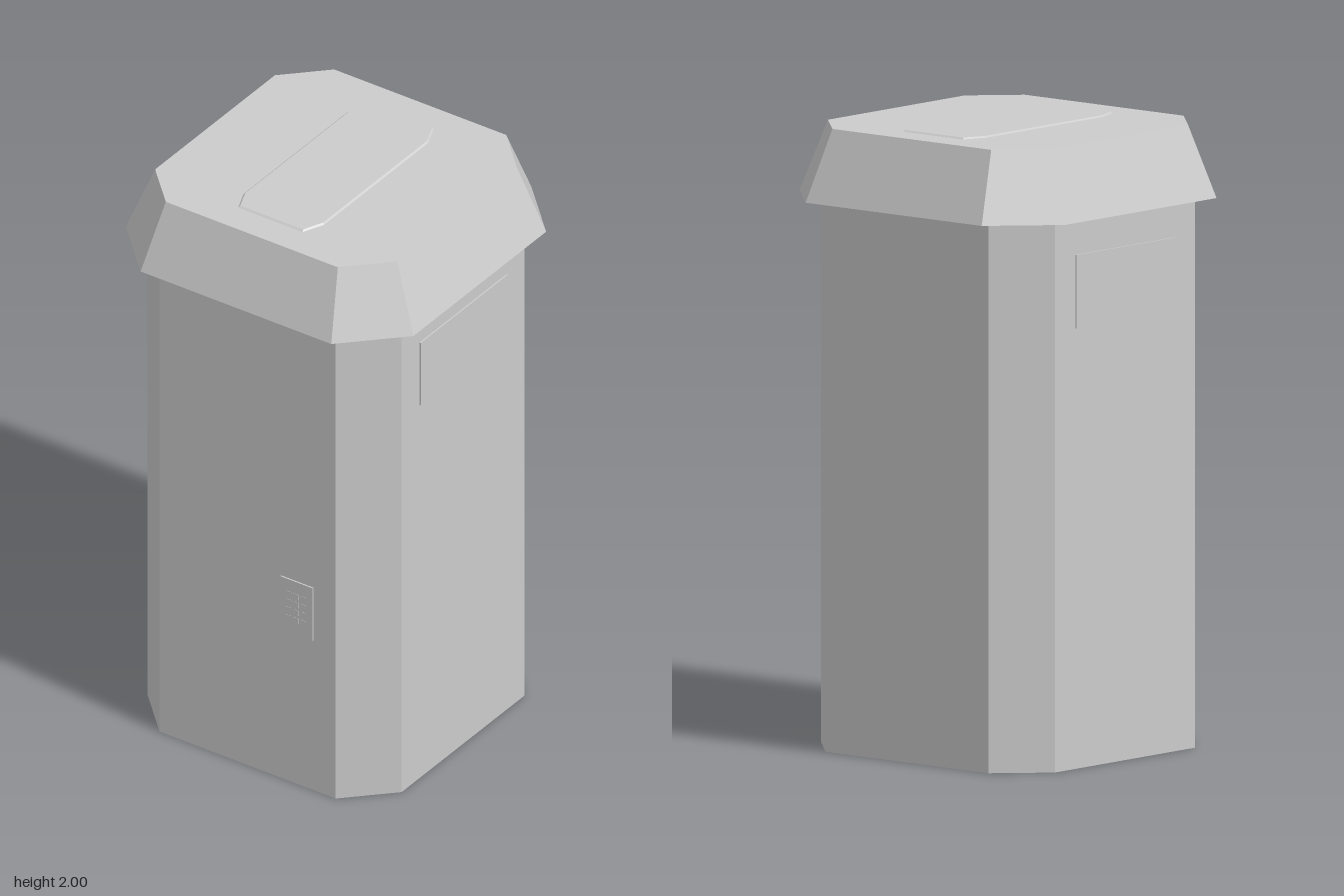
import * as THREE from 'three';

const material = new THREE.MeshStandardMaterial({ color: 0xcccccc, flatShading: true, side: THREE.DoubleSide });

// Chamfered rectangle: half sizes w, d and the half lengths a, b of its straight edges
const octagon = (w, d, a, b) => [
  [a, d], [w, b], [w, -b], [a, -d], [-a, -d], [-w, -b], [-w, b], [-a, d],
];

// Flat-sided solid between two octagons, with optional end caps
function loft(lower, y0, upper, y1, capBottom, capTop) {
  const pos = [];
  const n = lower.length;
  const at = (ring, i, y) => [ring[i % n][0], y, ring[i % n][1]];
  for (let i = 0; i < n; i++) {
    const a = at(lower, i, y0), b = at(lower, i + 1, y0);
    const c = at(upper, i + 1, y1), d = at(upper, i, y1);
    pos.push(...a, ...b, ...c, ...a, ...c, ...d);
    if (capTop) pos.push(0, y1, 0, ...d, ...c);
    if (capBottom) pos.push(0, y0, 0, ...b, ...a);
  }
  const g = new THREE.BufferGeometry();
  g.setAttribute('position', new THREE.Float32BufferAttribute(pos, 3));
  g.computeVertexNormals();
  return g;
}

export function createModel() {
  const model = new THREE.Group();
  const add = (name, geometry, x = 0, y = 0, z = 0, parent = model) => {
    const mesh = new THREE.Mesh(geometry, material);
    mesh.name = name;
    mesh.position.set(x, y, z);
    parent.add(mesh);
    return mesh;
  };

  // Hollow body, open underneath
  const wall = octagon(0.49, 0.49, 0.34, 0.34);
  add('body', loft(wall, 0, wall, 1.765, false, false));

  // Overhanging lid with sloped sides
  add('lid', loft(octagon(0.555, 0.555, 0.368, 0.368), 1.765,
    octagon(0.467, 0.467, 0.332, 0.332), 1.995, true, true));

  // Thin bevelled plate on the lid
  add('lidPlate', loft(octagon(0.157, 0.365, 0.125, 0.29), 1.994,
    octagon(0.15, 0.357, 0.121, 0.287), 2, false, true));

  // Side panels
  for (const [name, s] of [['leftPanel', 1], ['rightPanel', -1]]) {
    add(name, new THREE.BoxGeometry(0.01, 0.236, 0.482), s * 0.49, 1.53, 0);
  }

  // Keypad on the front
  const keypad = new THREE.Group();
  keypad.name = 'keypad';
  keypad.position.set(0.191, 0.666, 0.49);
  model.add(keypad);
  add('keypadPlate', new THREE.BoxGeometry(0.125, 0.2, 0.01), 0, 0, 0, keypad);
  for (let row = 0; row < 4; row++) {
    for (let col = 0; col < 3; col++) {
      add('key', new THREE.BoxGeometry(0.02, 0.02, 0.002),
        (col - 1) * 0.028, (1.5 - row) * 0.03, 0.005, keypad);
    }
  }
  return model;
}
